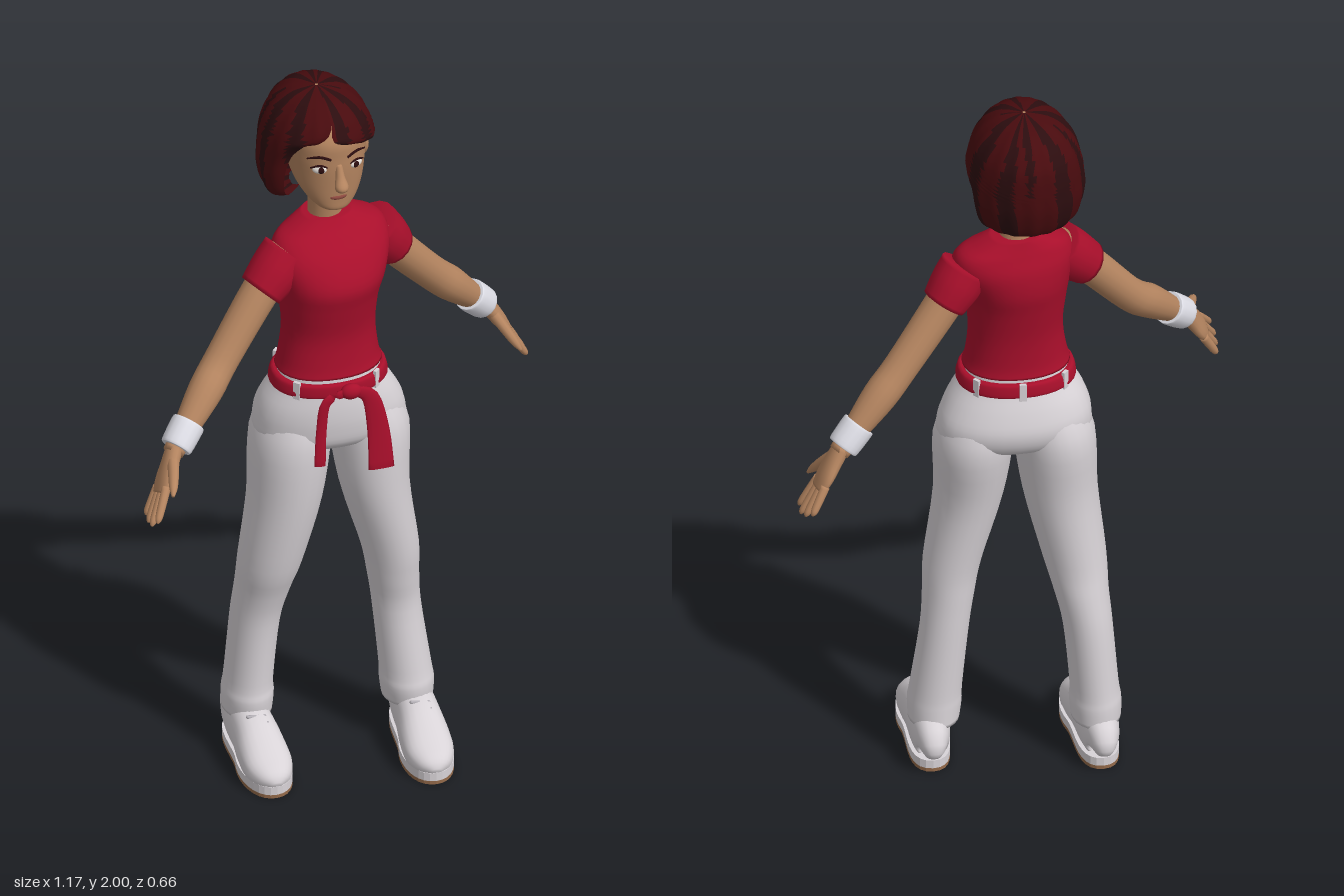
import * as THREE from 'three';

const mat = (name, color, double) => {
  const m = new THREE.MeshStandardMaterial({ color });
  m.name = name;
  if (double) m.side = THREE.DoubleSide;
  return m;
};
const V = (a) => new THREE.Vector3(a[0], a[1], a[2]);

// Smoothly resamples rows of numbers
function resample(rows, steps) {
  const out = [], at = (i) => rows[Math.min(rows.length - 1, Math.max(0, i))];
  for (let i = 0; i < rows.length - 1; i++) {
    for (let s = 0; s < steps; s++) {
      const t = s / steps;
      out.push(at(i).map((b, k) => {
        const a = at(i - 1)[k], c = at(i + 1)[k], d = at(i + 2)[k];
        return b + 0.5 * t * (c - a + t * (2 * a - 5 * b + 4 * c - d + t * (3 * (b - c) + d - a)));
      }));
    }
  }
  out.push(at(rows.length - 1));
  return out;
}

// Elliptical loft through rows [x, y, z, radiusSide, radiusOther, yaw]; level keeps the sections horizontal
function loft(rows, { side = [1, 0, 0], level = false, seg = 20, steps = 4, power = 1 } = {}) {
  const r = resample(rows.map((q) => [...q, 0].slice(0, 6)), steps), n = r.length;
  const pos = [], idx = [], up = new THREE.Vector3(0, 1, 0);
  const bend = (v) => Math.sign(v) * Math.abs(v) ** power;
  r.forEach((q, i) => {
    const T = V(r[Math.min(i + 1, n - 1)]).sub(V(r[Math.max(i - 1, 0)])).normalize();
    if (level) T.set(0, Math.sign(T.y), 0);
    const U = V(side).applyAxisAngle(up, q[5]);
    U.addScaledVector(T, -U.dot(T)).normalize();
    const W = T.clone().cross(U);
    for (let j = 0; j < seg; j++) {
      const a = (j / seg) * Math.PI * 2;
      const p = V(q).addScaledVector(U, q[3] * bend(Math.cos(a))).addScaledVector(W, q[4] * bend(Math.sin(a)));
      pos.push(p.x, p.y, p.z);
    }
  });
  pos.push(...r[0].slice(0, 3), ...r[n - 1].slice(0, 3));
  for (let j = 0; j < seg; j++) {
    const k = (j + 1) % seg, e = (n - 1) * seg;
    for (let i = 0; i < n - 1; i++) {
      const a = i * seg;
      idx.push(a + j, a + k, a + seg + j, a + k, a + seg + k, a + seg + j);
    }
    idx.push(n * seg, k, j, n * seg + 1, e + j, e + k);
  }
  const g = new THREE.BufferGeometry();
  g.setAttribute('position', new THREE.Float32BufferAttribute(pos, 3));
  g.setIndex(idx);
  g.computeVertexNormals();
  return g;
}

// Bob haircut: rows [y, radiusX, radiusZ, left opening, right opening] with angles measured from the face
function bobHair() {
  const rows = resample([
    [1.715, 0.07, 0.07, 108, 66], [1.70, 0.118, 0.125, 108, 66], [1.725, 0.143, 0.147, 106, 62],
    [1.78, 0.154, 0.163, 102, 58], [1.825, 0.151, 0.167, 90, 54], [1.855, 0.148, 0.167, 55, 48],
    [1.89, 0.139, 0.165, 22, 34], [1.92, 0.126, 0.157, 0, 10], [1.955, 0.101, 0.13, 0, 0],
    [1.985, 0.06, 0.08, 0, 0], [1.998, 0.004, 0.004, 0, 0]], 3);
  const pos = [], red = [], dark = [], N = 72;
  rows.forEach(([y, rx, rz, l, r], i) => {
    for (let j = 0; j <= N; j++) {
      const a = THREE.MathUtils.degToRad(l + (360 - l - r) * (j / N));
      const tuck = (d, open) => 0.2 * Math.max(0, 1 - d / 5) ** 2 * Math.min(1, Math.max(0, open) / 35);
      const f = (1 + 0.012 * Math.cos(a * 18)) * (1 - tuck(j, l) - tuck(N - j, r));
      pos.push(-0.032 + Math.sin(a) * rx * f, y, -0.087 + Math.cos(a) * rz * f);
      if (j < N && i < rows.length - 1) {
        const p = i * (N + 1) + j, q = p + N + 1;
        const streak = Math.sin(a * 7 + 1) + Math.sin(a * 11 + y * 6) > 0.25;
        (streak ? dark : red).push(p, p + 1, q, p + 1, q + 1, q);
      }
    }
  });
  const g = new THREE.BufferGeometry();
  g.setAttribute('position', new THREE.Float32BufferAttribute(pos, 3));
  g.setIndex([...red, ...dark]);
  g.addGroup(0, red.length, 0);
  g.addGroup(red.length, dark.length, 1);
  g.computeVertexNormals();
  return g;
}

export function createModel() {
  const root = new THREE.Group();
  root.name = 'woman';
  const skin = mat('skin', 0xb58560), red = mat('red cloth', 0xa90f2b), white = mat('white cloth', 0xd8d3d7);
  const band = mat('wristband white', 0xdedee6), sole = mat('sole brown', 0x946a4a), lip = mat('lip', 0x8f4a40);
  const hairRed = mat('hair red', 0x480b0e, true), hairDark = mat('hair dark', 0x2c0d0f, true);
  const eyeWhite = mat('eye white', 0xe6e0da), lace = mat('lace grey', 0xb4b0b6);
  const add = (name, geo, m, parent = root) => {
    const mesh = new THREE.Mesh(geo, m);
    mesh.name = name;
    parent.add(mesh);
    return mesh;
  };
  const ball = (name, m, parent, p, s) => {
    const b = add(name, new THREE.SphereGeometry(1, 20, 14), m, parent);
    b.position.set(...p);
    b.scale.set(...s);
    return b;
  };

  // Shirt body, twisted at the shoulders
  add('shirt', loft([
    [-0.02, 1.195, -0.025, 0.139, 0.106, 0], [-0.02, 1.23, -0.026, 0.13, 0.1, 0.02],
    [-0.018, 1.31, -0.03, 0.122, 0.099, 0.06], [-0.018, 1.4, -0.03, 0.13, 0.115, 0.12],
    [-0.013, 1.465, -0.033, 0.145, 0.127, 0.18], [-0.008, 1.53, -0.05, 0.162, 0.11, 0.22],
    [-0.006, 1.575, -0.064, 0.148, 0.083, 0.22], [-0.008, 1.6, -0.072, 0.105, 0.066, 0.2],
    [-0.01, 1.622, -0.077, 0.062, 0.053, 0.15]], { level: true, seg: 32, power: 0.92 }), red);

  // Trousers
  add('trouserSeat', loft([
    [-0.02, 1.203, -0.024, 0.132, 0.102], [-0.02, 1.16, -0.025, 0.142, 0.107], [-0.019, 1.1, -0.034, 0.178, 0.122],
    [-0.014, 1.04, -0.042, 0.198, 0.128], [-0.012, 0.985, -0.04, 0.19, 0.112], [-0.012, 0.945, -0.038, 0.1, 0.06]],
  { level: true, seg: 32, power: 0.9 }), white);
  const legs = {
    right: [[-0.1, 1.08, -0.045, 0.08, 0.1], [-0.116, 0.98, -0.043, 0.105, 0.125], [-0.132, 0.8, -0.038, 0.097, 0.11],
      [-0.166, 0.6, -0.052, 0.083, 0.094], [-0.181, 0.5, -0.073, 0.071, 0.084], [-0.196, 0.4, -0.088, 0.064, 0.078],
      [-0.211, 0.22, -0.095, 0.063, 0.077], [-0.214, 0.17, -0.095, 0.067, 0.082], [-0.215, 0.12, -0.098, 0.064, 0.08]],
    left: [[0.075, 1.08, -0.035, 0.08, 0.1], [0.092, 0.98, -0.038, 0.103, 0.123], [0.103, 0.8, -0.025, 0.09, 0.105],
      [0.145, 0.6, -0.03, 0.075, 0.083], [0.157, 0.5, -0.038, 0.067, 0.073], [0.168, 0.4, -0.045, 0.063, 0.066],
      [0.188, 0.22, -0.037, 0.067, 0.073], [0.192, 0.17, -0.034, 0.07, 0.078], [0.195, 0.12, -0.038, 0.066, 0.077]]
  };
  for (const [s, rows] of Object.entries(legs)) add(s + 'TrouserLeg', loft(rows, { level: true, seg: 24 }), white);

  // Sash with knot, hanging ends and belt loops
  add('sash', loft([[-0.02, 1.145, -0.026, 0.149, 0.113], [-0.02, 1.152, -0.026, 0.155, 0.118],
    [-0.02, 1.178, -0.025, 0.15, 0.116], [-0.02, 1.185, -0.025, 0.142, 0.11]], { level: true, seg: 32, power: 0.92 }), red);
  ball('sashKnot', red, root, [0.005, 1.165, 0.098], [0.028, 0.022, 0.018]);
  const tails = [
    [[0, 1.165, 0.1, 0.012, 0.006], [-0.06, 1.145, 0.1, 0.014, 0.006], [-0.074, 1.06, 0.098, 0.014, 0.005], [-0.08, 0.955, 0.105, 0.015, 0.004]],
    [[0.01, 1.165, 0.1, 0.014, 0.006], [0.055, 1.14, 0.1, 0.022, 0.007], [0.075, 1.04, 0.106, 0.029, 0.006], [0.08, 0.927, 0.118, 0.034, 0.004]]];
  tails.forEach((t, i) => add('sashEnd' + (i + 1), loft(t, { side: [1, 0.3, 0], seg: 12 }), red));
  for (const a of [0.75, 2.3, 3.14, 4.0, 5.5]) {
    const l = add('beltLoop', new THREE.BoxGeometry(0.018, 0.05, 0.009), white);
    l.position.set(-0.02 + Math.sin(a) * 0.152, 1.167, -0.026 + Math.cos(a) * 0.119);
    l.rotation.y = a;
  }

  // Arms with sleeves, wristbands and hands
  const arms = {
    right: { shoulder: [-0.125, 1.535, -0.03], cuff: [-0.207, 1.453, 0], elbow: [-0.325, 1.305, 0.055], wrist: [-0.497, 1.13, 0.187],
      dir: [-0.095, -0.16, 0.095], across: [0.1, 0.45, 0.88] },
    left: { shoulder: [0.118, 1.535, -0.09], cuff: [0.18, 1.448, -0.115], elbow: [0.298, 1.303, -0.17], wrist: [0.474, 1.112, -0.255],
      dir: [0.098, -0.16, -0.035], across: [0.1, -0.1, 1] }
  };
  for (const [s, a] of Object.entries(arms)) {
    const arm = new THREE.Group();
    arm.name = s + 'Arm';
    root.add(arm);
    const D = V(a.dir).normalize(), A = V(a.across), W = V(a.wrist), E = V(a.elbow);
    A.addScaledVector(D, -A.dot(D)).normalize();
    const on = (along, off, r1, r2) => [...W.clone().addScaledVector(D, along).addScaledVector(A, off).toArray(), r1, r2];
    const mid = (t, r) => [...E.clone().lerp(W, t).toArray(), r, r];
    const opt = { side: A.toArray(), seg: 16 };
    add('sleeve', loft([[...a.shoulder, 0.066, 0.07], [...V(a.shoulder).lerp(V(a.cuff), 0.5).toArray(), 0.067, 0.067],
      [...a.cuff, 0.06, 0.058]], opt), red, arm);
    add('armSkin', loft([[...a.shoulder, 0.05, 0.05], [...a.cuff, 0.049, 0.049], [...a.elbow, 0.044, 0.045],
      mid(0.35, 0.045), mid(0.75, 0.033), mid(1, 0.027)], opt), skin, arm);
    add('wristband', loft([mid(0.68, 0.039), mid(0.7, 0.044), mid(0.92, 0.042), mid(0.94, 0.036)], opt), band, arm);
    add('palm', loft([on(-0.02, 0, 0.026, 0.022), on(0.03, 0.002, 0.036, 0.021), on(0.075, 0, 0.043, 0.018),
      on(0.108, 0, 0.037, 0.013)], opt), skin, arm);
    [0.066, 0.084, 0.092, 0.082].forEach((len, i) => {
      const o = (i - 1.5) * 0.021;
      add('finger', loft([on(0.09, o, 0.011, 0.012), on(0.1 + len * 0.5, o * 1.3, 0.011, 0.011),
        on(0.1 + len * 0.9, o * 1.5, 0.009, 0.009), on(0.104 + len, o * 1.55, 0.003, 0.003)], { ...opt, seg: 10 }), skin, arm);
    });
    add('thumb', loft([on(0.015, 0.015, 0.016, 0.016), on(0.055, 0.052, 0.015, 0.014), on(0.088, 0.08, 0.011, 0.011),
      on(0.11, 0.096, 0.004, 0.004)], { side: D.toArray(), seg: 10 }), skin, arm);
  }

  // Trainers, built along z from heel to toe
  const outline = new THREE.Shape();
  outline.moveTo(0, -0.172);
  outline.bezierCurveTo(0.07, -0.172, 0.05, -0.05, 0.06, 0.01);
  outline.bezierCurveTo(0.083, 0.09, 0.055, 0.178, 0, 0.178);
  outline.bezierCurveTo(-0.06, 0.178, -0.076, 0.08, -0.058, 0.01);
  outline.bezierCurveTo(-0.05, -0.05, -0.068, -0.172, 0, -0.172);
  for (const [s, x, z, yaw] of [['right', -0.218, -0.01, 0.03], ['left', 0.202, 0.047, -0.04]]) {
    const shoe = new THREE.Group();
    shoe.name = s + 'Shoe';
    shoe.position.set(x, 0, z);
    shoe.rotation.y = yaw;
    root.add(shoe);
    const slab = (name, y, h, m) => {
      const g = new THREE.ExtrudeGeometry(outline, { depth: h, bevelEnabled: false, curveSegments: 10 });
      add(name, g.rotateX(Math.PI / 2).translate(0, y + h, 0), m, shoe);
    };
    slab('sole', 0, 0.01, sole);
    slab('midsole', 0.01, 0.024, white);
    add('upper', loft([[0, 0.05, -0.168, 0.02, 0.03], [0, 0.08, -0.155, 0.042, 0.06], [0, 0.085, -0.09, 0.053, 0.075],
      [0, 0.08, -0.01, 0.058, 0.07], [0, 0.064, 0.05, 0.064, 0.059], [0, 0.048, 0.11, 0.063, 0.045],
      [0, 0.038, 0.155, 0.043, 0.033], [0, 0.03, 0.174, 0.012, 0.013]], { seg: 24, power: 0.85 }), white, shoe);
    for (let i = 0; i < 4; i++) {
      const l = add('lace', new THREE.CapsuleGeometry(0.005, 0.045, 3, 8), lace, shoe);
      l.position.set(0, 0.142 - i * 0.013, 0.008 + i * 0.021);
      l.rotation.z = Math.PI / 2 + (i % 2 ? 0.12 : -0.12);
    }
  }

  // Neck, head and face
  add('neck', loft([[-0.012, 1.57, -0.082, 0.052, 0.048], [-0.014, 1.63, -0.073, 0.044, 0.042],
    [-0.015, 1.75, -0.065, 0.046, 0.046]], { level: true }), skin);
  const head = new THREE.Group();
  head.name = 'head';
  head.position.x = -0.015;
  head.rotation.y = 0.04;
  root.add(head);
  add('face', loft([
    [0, 1.684, 0.012, 0.016, 0.018], [0, 1.695, 0.005, 0.042, 0.04], [0, 1.72, -0.018, 0.068, 0.066],
    [0, 1.76, -0.045, 0.089, 0.096], [0, 1.81, -0.067, 0.1, 0.122], [0, 1.85, -0.075, 0.106, 0.13],
    [0, 1.9, -0.08, 0.106, 0.132], [0, 1.95, -0.085, 0.082, 0.1], [0, 1.975, -0.085, 0.03, 0.04]],
  { level: true, seg: 32, power: 0.93 }), skin, head);
  add('nose', loft([[0, 1.838, 0.045, 0.009, 0.012], [0, 1.805, 0.06, 0.012, 0.013], [0, 1.782, 0.072, 0.018, 0.018],
    [0, 1.768, 0.068, 0.014, 0.016], [0, 1.762, 0.052, 0.006, 0.008]], { level: true, seg: 14 }), skin, head);
  for (const s of [-1, 1]) {
    ball('ear', skin, head, [s * 0.108, 1.8, -0.085], [0.014, 0.037, 0.024]).rotation.y = s * 0.3;
    ball('eye', eyeWhite, head, [s * 0.049, 1.825, 0.041], [0.019, 0.012, 0.009]).rotation.y = s * 0.4;
    ball('iris', hairDark, head, [s * 0.047, 1.825, 0.0475], [0.009, 0.0095, 0.005]).rotation.y = s * 0.3;
    add('eyelid', loft([[s * 0.028, 1.83, 0.049, 0.002, 0.002], [s * 0.05, 1.839, 0.046, 0.003, 0.003],
      [s * 0.071, 1.829, 0.032, 0.002, 0.002]], { side: [0, 1, 0], seg: 8 }), hairDark, head);
    add('eyebrow', loft([[s * 0.022, 1.855, 0.053, 0.004, 0.003], [s * 0.05, 1.864, 0.044, 0.004, 0.003],
      [s * 0.078, 1.855, 0.025, 0.002, 0.002]], { side: [0, 1, 0], seg: 8 }), hairDark, head);
  }
  add('mouth', loft([[-0.036, 1.742, 0.03, 0.002, 0.003], [-0.015, 1.734, 0.045, 0.006, 0.005], [0.015, 1.734, 0.045, 0.006, 0.005],
    [0.036, 1.742, 0.03, 0.002, 0.003]], { side: [0, 1, 0], seg: 10 }), lip, head);
  add('hair', bobHair(), [hairRed, hairDark]);
  return root;
}
